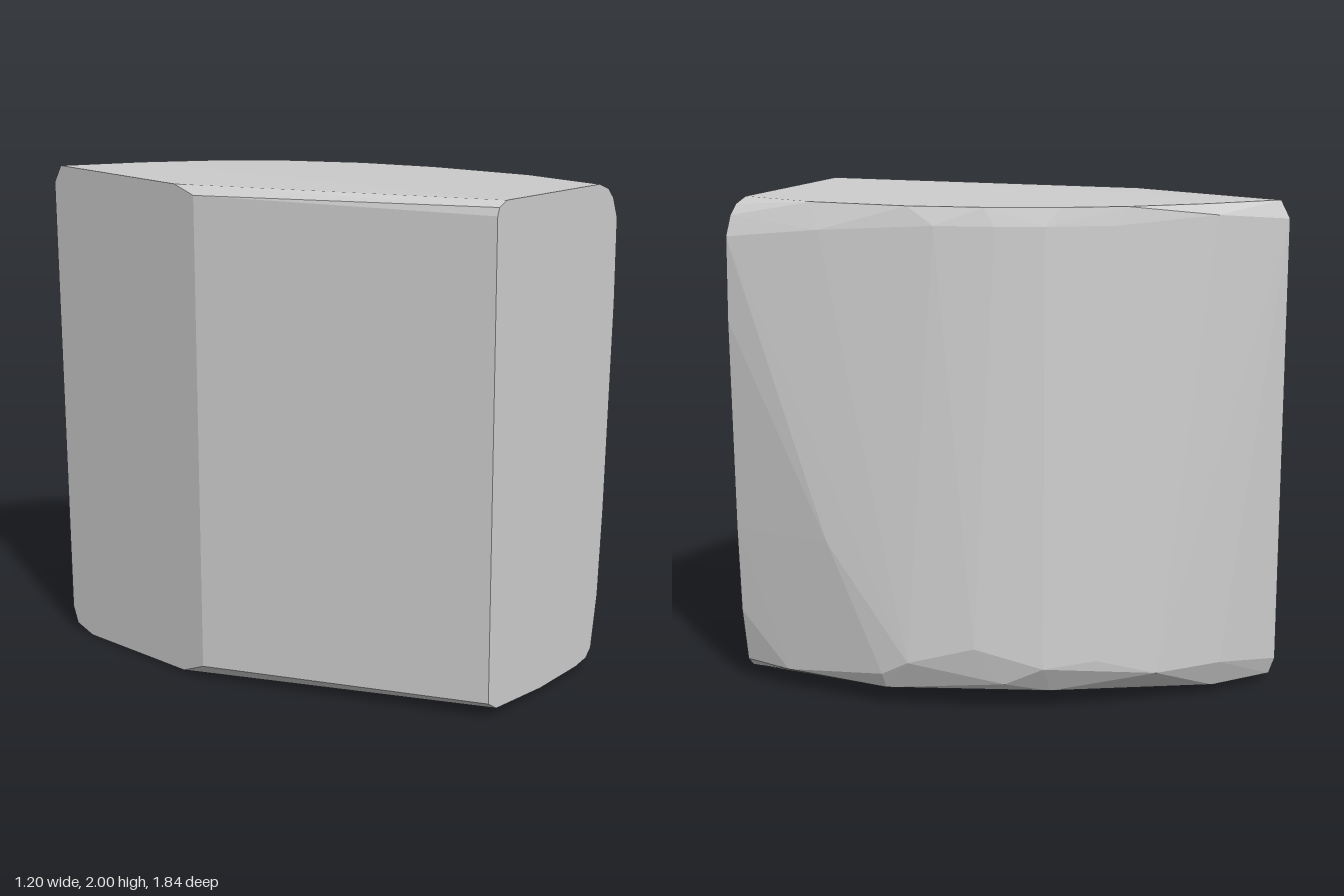
import * as THREE from 'three';
import { ConvexGeometry } from 'three/addons/geometries/ConvexGeometry.js';

// Faceted stone block: the convex skin around a few edge loops.
export function createModel() {
  const group = new THREE.Group();
  const stone = new THREE.MeshStandardMaterial({ color: 0xcccccc });
  stone.name = 'light grey stone';
  stone.flatShading = true;

  // flat front face, as x, y
  const front = [
    [-0.13, 0.07], [-0.08, 0.035], [0.2, 0.02], [0.44, 0.03], [0.51, 0.045],
    [0.54, 0.08], [0.57, 0.3], [0.585, 0.65], [0.6, 1.5], [0.595, 1.83],
    [0.565, 1.91], [0.53, 1.95], [0.47, 1.975], [-0.1, 2.0], [-0.14, 1.98], [-0.15, 1.95],
  ].map(([x, y]) => [x, y, 0.92]);

  // flat side face, as z, y
  const side = [
    [-0.14, 0.06], [-0.14, 1.95], [-0.24, 1.98], [-0.88, 1.97], [-0.92, 1.9],
    [-0.915, 0.1], [-0.89, 0.03], [-0.8, 0], [-0.25, 0.01],
  ].map(([z, y]) => [-0.6, y, z]);

  // rim of the top face
  const topRim = [
    [-0.33, 1.97, -0.7], [-0.08, 1.97, -0.49], [0.08, 1.97, -0.3],
    [0.24, 1.97, -0.05], [0.36, 1.97, 0.22], [0.46, 1.972, 0.6],
  ];
  // bevel below the top rim
  const shoulder = [
    [-0.33, 1.93, -0.75], [-0.04, 1.9, -0.47], [0.14, 1.9, -0.26],
    [0.24, 1.9, -0.1], [0.345, 1.9, 0.11], [0.49, 1.87, 0.55],
  ];
  // widest line of the curved wall, near the foot
  const foot = [
    [-0.33, 0.14, -0.8], [-0.08, 0.14, -0.65], [0.1, 0.21, -0.48], [0.25, 0.19, -0.33],
    [0.39, 0.27, -0.1], [0.5, 0.2, 0.14], [0.52, 0.14, 0.25], [0.56, 0.65, 0.48], [0.55, 0.08, 0.7],
  ];
  // rim of the underside
  const bottomRim = [
    [-0.35, 0.03, -0.76], [-0.12, 0.07, -0.6], [0.18, 0.08, -0.32],
    [0.31, 0.12, -0.19], [0.42, 0.1, 0.08], [0.49, 0.075, 0.25],
  ];

  const points = [front, side, topRim, shoulder, foot, bottomRim].flat()
    .map((p) => new THREE.Vector3(...p));
  const block = new THREE.Mesh(new ConvexGeometry(points), stone);
  block.name = 'stoneBlock';
  group.add(block);
  return group;
}
